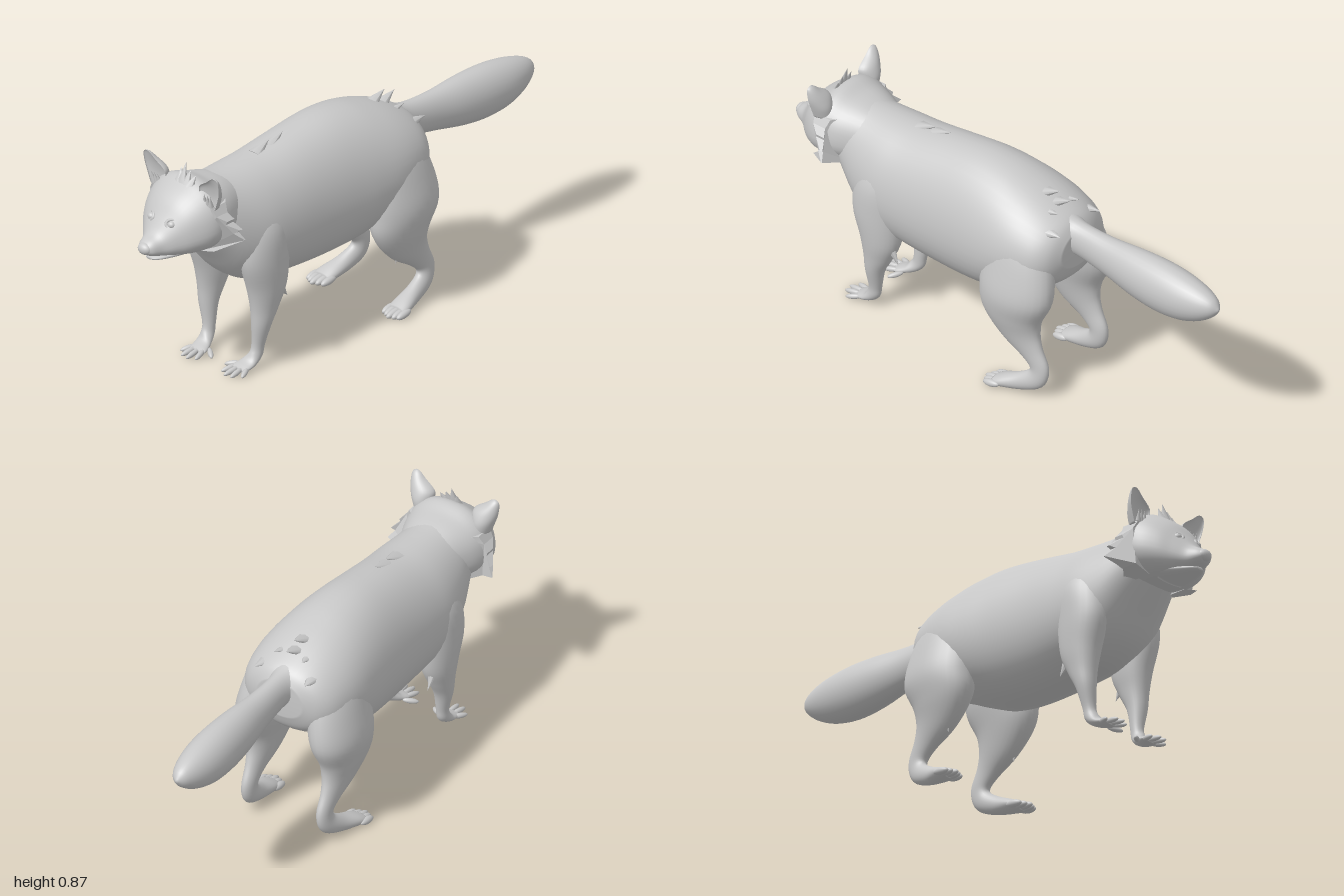
import * as THREE from 'three';

const fur = new THREE.MeshStandardMaterial({ color: 0xc8c8c8 });
fur.name = 'grey fur';
const V = (x, y, z) => new THREE.Vector3(x, y, z);

// Smooth skin over elliptical rings [x, y, z, radiusX, radiusD, tilt in degrees].
// Tilt 0 is a horizontal ring, 90 a vertical one facing z.
// power < 1 squares the ring, pear widens its low side, dish hollows its forward half.
function loft(sections, { sides = 28, steps = 5, power = 1, pear = 0, dish = 0 } = {}) {
  const n = sections.length, rings = [];
  const spline = (a, b, c, d, t) => 0.5 * (2 * b + (c - a) * t
    + (2 * a - 5 * b + 4 * c - d) * t * t + (3 * b - a - 3 * c + d) * t * t * t);
  for (let i = 0; i < n - 1; i++) {
    const [a, b, c, d] = [-1, 0, 1, 2].map(k => sections[Math.min(n - 1, Math.max(0, i + k))]);
    for (let s = 0; s < steps; s++) rings.push(b.map((_, k) => spline(a[k], b[k], c[k], d[k], s / steps)));
  }
  rings.push(sections[n - 1]);
  const pos = [], idx = [], bend = v => Math.sign(v) * Math.abs(v) ** power;
  for (const [x, y, z, rx, rd, tilt] of rings) {
    const a = tilt * Math.PI / 180;
    for (let j = 0; j < sides; j++) {
      const t = j / sides * Math.PI * 2, v = bend(Math.sin(t));
      const d = v * rd * (dish && v > 0 ? -dish : 1);
      pos.push(x + bend(Math.cos(t)) * rx * (1 - pear * v), y + d * Math.sin(a), z + d * Math.cos(a));
    }
  }
  for (let i = 0; i < rings.length - 1; i++) for (let j = 0; j < sides; j++) {
    const a = i * sides + j, b = i * sides + (j + 1) % sides;
    idx.push(a, b, a + sides, b, b + sides, a + sides);
  }
  // end caps
  const last = (rings.length - 1) * sides, c0 = pos.length / 3;
  pos.push(...rings[0].slice(0, 3), ...rings[rings.length - 1].slice(0, 3));
  for (let j = 0; j < sides; j++) {
    const k = (j + 1) % sides;
    idx.push(c0, k, j, c0 + 1, last + j, last + k);
  }
  // turn the skin outwards when its enclosed volume is negative
  let volume = 0;
  const p = i => V(pos[3 * i], pos[3 * i + 1], pos[3 * i + 2]);
  for (let i = 0; i < idx.length; i += 3) volume += p(idx[i]).dot(p(idx[i + 1]).cross(p(idx[i + 2])));
  if (volume < 0) idx.reverse();
  const g = new THREE.BufferGeometry();
  g.setAttribute('position', new THREE.Float32BufferAttribute(pos, 3));
  g.setIndex(idx);
  g.computeVertexNormals();
  return g;
}

// Rings for shapes running along z, given as [z, top, bottom, halfWidth]
const alongZ = rows => rows.map(([z, t, b, w]) => [0, (t + b) / 2, z, w, (t - b) / 2, 90]);

// Jagged cheek fur: a wedge swept back and thinning as it spreads outwards
function ruffGeometry(s) {
  const outline = [[0.09, 0.75], [0.15, 0.747], [0.168, 0.715], [0.19, 0.692], [0.187, 0.68], [0.216, 0.653],
    [0.203, 0.642], [0.226, 0.612], [0.16, 0.576], [0.09, 0.556]];
  const shape = new THREE.Shape(outline.map(([x, y]) => new THREE.Vector2(x * s, y)));
  const g = new THREE.ExtrudeGeometry(shape, { depth: 1, bevelEnabled: false });
  const p = g.attributes.position;
  for (let i = 0; i < p.count; i++) {
    const x = Math.abs(p.getX(i)), front = Math.min(0.79, 0.81 - (x - 0.15) * 1.5);
    p.setZ(i, front - (1 - p.getZ(i)) * (0.004 + 0.9 * (0.226 - x)));
  }
  g.computeVertexNormals();
  return g;
}

export function createModel() {
  const model = new THREE.Group();
  const add = (name, geometry, parent = model) => {
    const m = new THREE.Mesh(geometry, fur);
    m.name = name;
    parent.add(m);
    return m;
  };
  const group = name => {
    const g = new THREE.Group();
    g.name = name;
    model.add(g);
    return g;
  };
  const ball = (name, at, size, parent) => {
    const m = add(name, new THREE.SphereGeometry(1, 20, 14), parent);
    m.position.set(...at);
    m.scale.set(...size);
    return m;
  };
  // Pointed lock of fur from base to tip
  const tuft = (name, base, tip, width, thick, parent) => {
    const a = V(...base), b = V(...tip), dir = b.clone().sub(a);
    const g = new THREE.ConeGeometry(1, 1, 8);
    g.scale(width, dir.length(), thick);
    const m = add(name, g, parent);
    m.position.copy(a).add(b).multiplyScalar(0.5);
    m.quaternion.setFromUnitVectors(V(0, 1, 0), dir.normalize());
  };
  // Toe: stretched ball from knuckle to tip
  const toe = (base, tip, r, parent) => {
    const a = V(...base), b = V(...tip), len = a.distanceTo(b);
    const m = ball('toe', a.clone().add(b).multiplyScalar(0.5).toArray(), [r, r, len / 2], parent);
    m.quaternion.setFromUnitVectors(V(0, 0, 1), b.sub(a).normalize());
  };

  // Trunk and neck
  add('body', loft(alongZ([
    [0.76, 0.78, 0.57, 0.11], [0.68, 0.787, 0.47, 0.142], [0.6, 0.783, 0.375, 0.17],
    [0.5, 0.785, 0.318, 0.192], [0.4, 0.792, 0.307, 0.196], [0.25, 0.815, 0.296, 0.199],
    [0.1, 0.832, 0.298, 0.208], [-0.02, 0.825, 0.318, 0.219], [-0.12, 0.802, 0.36, 0.224],
    [-0.2, 0.775, 0.4, 0.216], [-0.27, 0.742, 0.435, 0.195], [-0.315, 0.712, 0.475, 0.155],
    [-0.34, 0.675, 0.53, 0.095]]), { sides: 40, power: 0.96, pear: 0.08 }));

  // Tail
  add('tail', loft(alongZ([
    [-0.2, 0.762, 0.6, 0.1], [-0.28, 0.732, 0.575, 0.075], [-0.35, 0.711, 0.572, 0.048], [-0.48, 0.706, 0.55, 0.053],
    [-0.62, 0.715, 0.522, 0.071], [-0.74, 0.716, 0.512, 0.079], [-0.84, 0.706, 0.523, 0.075],
    [-0.92, 0.688, 0.552, 0.058], [-0.975, 0.664, 0.59, 0.033], [-1, 0.633, 0.623, 0.005]])));

  // Head and muzzle
  const head = group('head');
  add('skull', loft(alongZ([
    [0.56, 0.76, 0.6, 0.1], [0.64, 0.786, 0.565, 0.137], [0.7, 0.8, 0.556, 0.16], [0.76, 0.818, 0.547, 0.17],
    [0.81, 0.793, 0.546, 0.157], [0.86, 0.752, 0.549, 0.125], [0.9, 0.697, 0.556, 0.087],
    [0.935, 0.65, 0.562, 0.055], [0.97, 0.629, 0.572, 0.038], [0.988, 0.615, 0.584, 0.024]]),
  { sides: 40, power: 0.86, pear: 0.1 }), head);
  add('lower jaw', loft(alongZ([
    [0.8, 0.6, 0.545, 0.1], [0.88, 0.58, 0.542, 0.064], [0.935, 0.566, 0.545, 0.036],
    [0.957, 0.56, 0.55, 0.015]])), head);
  ball('nose', [0, 0.6, 0.977], [0.03, 0.023, 0.023], head);
  for (const [x, y] of [[0, 0.872], [0.025, 0.85], [-0.022, 0.848], [0.05, 0.835]])
    tuft('crown tuft', [x * 0.7, 0.79, 0.79], [x, y, 0.767], 0.026, 0.014, head);

  // Fur along the spine, lying back
  for (const [z, y] of [[0.42, 0.775], [0.35, 0.782], [-0.17, 0.765], [-0.22, 0.745]])
    tuft('back tuft', [0, y, z], [0, y + 0.037, z - 0.075], 0.035, 0.02);

  for (const s of [1, -1]) {
    const side = s > 0 ? 'left' : 'right';
    const m = ([x, ...rest]) => [x * s, ...rest];

    // Rump fur beside the tail
    tuft('rump tuft', [0.05 * s, 0.735, -0.22], [0.06 * s, 0.752, -0.285], 0.025, 0.015);
    tuft('rump tuft', [0.1 * s, 0.69, -0.27], [0.11 * s, 0.7, -0.342], 0.03, 0.02);

    // Eye with lids
    ball(side + ' eye', [0.05 * s, 0.683, 0.892], [0.016, 0.014, 0.015], head);
    const lid = add(side + ' eyelid', new THREE.TorusGeometry(0.021, 0.007, 8, 24), head);
    lid.position.set(0.051 * s, 0.684, 0.892);
    lid.rotation.set(-0.45, 0.5 * s, 0.15 * s);
    lid.scale.y = 0.8;

    // Hollow ear
    add(side + ' ear', loft([
      [0.124, 0.74, 0.785, 0.038, 0.05, 0], [0.131, 0.78, 0.787, 0.045, 0.052, 0],
      [0.137, 0.815, 0.79, 0.049, 0.042, 0], [0.159, 0.847, 0.795, 0.029, 0.026, 0],
      [0.167, 0.864, 0.797, 0.017, 0.014, 0], [0.168, 0.871, 0.798, 0.005, 0.005, 0]].map(m),
    { dish: 0.35 }), head);
    for (const x of [0.112, 0.128, 0.142])
      tuft('ear tuft', [x * s, 0.75, 0.785], [(x + 0.008) * s, 0.796, 0.797], 0.012, 0.01, head);

    add(side + ' cheek ruff', ruffGeometry(s), head);

    // Foreleg and paw
    const fore = group(side + ' foreleg');
    add('leg', loft([
      [0.095, 0.68, 0.48, 0.05, 0.08, 0], [0.118, 0.57, 0.495, 0.077, 0.105, 0],
      [0.133, 0.45, 0.503, 0.07, 0.108, 0], [0.133, 0.33, 0.492, 0.061, 0.085, 0],
      [0.134, 0.25, 0.502, 0.047, 0.06, 0], [0.133, 0.18, 0.518, 0.036, 0.039, 0],
      [0.124, 0.1, 0.525, 0.024, 0.026, 0], [0.121, 0.06, 0.535, 0.024, 0.026, 20],
      [0.113, 0.033, 0.565, 0.033, 0.017, 65], [0.105, 0.022, 0.6, 0.037, 0.012, 85],
      [0.105, 0.02, 0.615, 0.03, 0.008, 90]].map(m)), fore);
    [[0.08, 0.57, 0.032, 0.605], [0.083, 0.59, 0.065, 0.655], [0.1, 0.6, 0.095, 0.672],
      [0.118, 0.6, 0.125, 0.668], [0.13, 0.585, 0.155, 0.64]].forEach(([x, z, tx, tz]) =>
      toe([x * s, 0.024, z], [tx * s, 0.013, tz], 0.01, fore));
    tuft('elbow tuft', [0.136 * s, 0.38, 0.49], [0.145 * s, 0.256, 0.398], 0.04, 0.055, fore);

    // Hind leg and paw
    const hind = group(side + ' hind leg');
    add('leg', loft([
      [0.095, 0.72, -0.14, 0.06, 0.08, 0], [0.118, 0.63, -0.16, 0.088, 0.13, 0],
      [0.146, 0.52, -0.175, 0.092, 0.152, 0], [0.162, 0.42, -0.178, 0.092, 0.156, 0],
      [0.165, 0.33, -0.163, 0.073, 0.13, 0], [0.163, 0.25, -0.198, 0.049, 0.09, -15],
      [0.163, 0.19, -0.25, 0.031, 0.054, -25], [0.162, 0.135, -0.287, 0.025, 0.042, -5],
      [0.166, 0.085, -0.275, 0.027, 0.04, 45], [0.175, 0.052, -0.215, 0.032, 0.034, 70],
      [0.186, 0.032, -0.145, 0.042, 0.025, 85], [0.19, 0.024, -0.11, 0.038, 0.016, 90]].map(m)), hind);
    [0.152, 0.172, 0.191, 0.21, 0.226].forEach((x, i) =>
      toe([x * s, 0.027, -0.15], [(x + 0.002) * s, 0.016, -0.06 - Math.abs(i - 2) * 0.009], 0.014, hind));
    tuft('knee tuft', [0.165 * s, 0.29, -0.15], [0.17 * s, 0.198, -0.13], 0.025, 0.04, hind);
  }
  return model;
}
